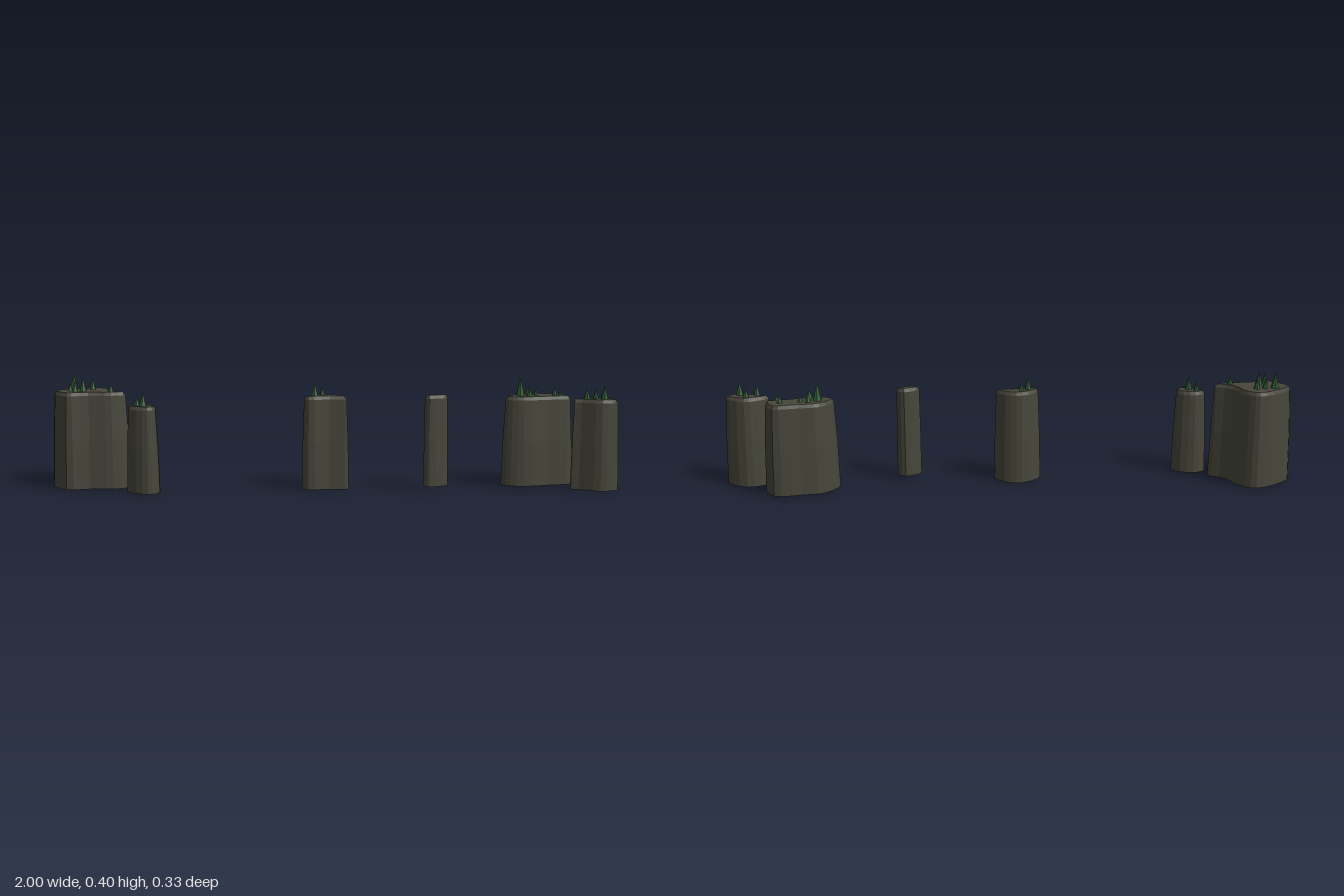
import * as THREE from 'three';

const rockMat = new THREE.MeshStandardMaterial({ color: 0x47463b });
rockMat.name = 'darkRock';
const treeMat = new THREE.MeshStandardMaterial({ color: 0x2f5c32 });
treeMat.name = 'pineGreen';

// Faceted rock wall that leans inward and has a bevelled rim; outline is [x, z] at the ground
function rockGeometry(outline, base, top, inset) {
  const curve = new THREE.CatmullRomCurve3(outline.map(([x, z]) => new THREE.Vector3(x, 0, z)), true);
  const n = outline.length * 3;
  const pts = Array.from({ length: n }, (_, i) => curve.getPoint(i / n));
  const out = pts.map((_, i) => {
    const t = pts[(i + 1) % n].clone().sub(pts[(i + n - 1) % n]).normalize();
    return new THREE.Vector3(t.z, 0, -t.x);
  });
  const middle = (base + top) / 2;
  const levels = [[base, 0], [middle, inset * 0.35], [top - 0.012, inset], [top, inset + 0.007]];
  const rings = levels.map(([y, d]) => pts.map((p, i) => p.clone().addScaledVector(out[i], -d).setY(y)));

  const pos = [];
  const tri = (a, b, c) => [a, b, c].forEach((p) => pos.push(p.x, p.y, p.z));
  for (let k = 0; k < rings.length - 1; k++) {
    for (let i = 0; i < n; i++) {
      const j = (i + 1) % n;
      tri(rings[k][j], rings[k][i], rings[k + 1][i]);
      tri(rings[k][j], rings[k + 1][i], rings[k + 1][j]);
    }
  }
  // Top and underside
  const cap = (ring, up) => {
    const flat = ring.map((p) => new THREE.Vector2(p.x, p.z));
    for (const [i, j, k] of THREE.ShapeUtils.triangulateShape(flat, [])) {
      const [a, b, c] = [ring[i], ring[j], ring[k]];
      const facesUp = (b.z - a.z) * (c.x - a.x) - (b.x - a.x) * (c.z - a.z) > 0;
      if (facesUp === up) tri(a, b, c);
      else tri(a, c, b);
    }
  };
  cap(rings[rings.length - 1], true);
  cap(rings[0], false);

  const geo = new THREE.BufferGeometry();
  geo.setAttribute('position', new THREE.Float32BufferAttribute(pos, 3));
  geo.computeVertexNormals();
  return geo;
}

// Six-sided pine standing on the pillar top
function pine(x, z, height, ground) {
  const geo = new THREE.ConeGeometry(0.005 + height * 0.17, height, 6).toNonIndexed();
  geo.computeVertexNormals();
  const mesh = new THREE.Mesh(geo, treeMat);
  mesh.name = 'pineTree';
  mesh.position.set(x, ground + height / 2, z);
  return mesh;
}

// Rock with its pines, each given as [x, z, height]
function pillar(name, base, top, inset, outline, trees = []) {
  const group = new THREE.Group();
  group.name = name;
  const rock = new THREE.Mesh(rockGeometry(outline, base, top, inset), rockMat);
  rock.name = 'rock';
  group.add(rock, ...trees.map(([x, z, h]) => pine(x, z, h, top)));
  return group;
}

export function createModel() {
  const model = new THREE.Group();
  model.name = 'rockPillars';

  // Left pair
  model.add(pillar('largeLeftPillar', 0, 0.34, 0.012,
    [[-1, 0], [-0.945, -0.07], [-0.86, -0.117], [-0.805, -0.085], [-0.775, -0.01],
      [-0.715, 0.035], [-0.77, 0.07], [-0.85, 0.075], [-0.93, 0.095]],
    [[-0.925, -0.03, 0.057], [-0.89, -0.035, 0.035], [-0.86, -0.04, 0.04], [-0.93, 0.005, 0.025],
      [-0.88, 0.02, 0.048], [-0.905, 0.037, 0.038], [-0.78, 0.03, 0.031]]));
  model.add(pillar('smallLeftPillar', 0, 0.3, 0.01,
    [[-0.715, 0.095], [-0.67, 0.065], [-0.605, 0.09], [-0.6, 0.14], [-0.63, 0.162], [-0.695, 0.135]],
    [[-0.65, 0.12, 0.05], [-0.675, 0.1, 0.032]]));

  // Middle pillars
  model.add(pillar('middlePillar', 0, 0.328, 0.009,
    [[-0.11, 0.035], [-0.045, -0.03], [0.02, -0.018], [0.055, 0.04], [-0.01, 0.047], [-0.085, 0.063]],
    [[-0.065, 0.022, 0.045], [-0.04, 0.003, 0.027]]));
  model.add(pillar('slimPillar', 0.015, 0.335, 0.003,
    [[0.315, 0.05], [0.37, 0.01], [0.4, 0.035], [0.335, 0.068]]));

  // Right pair
  model.add(pillar('largeRightPillar', 0.004, 0.32, 0.012,
    [[0.595, -0.055], [0.64, -0.13], [0.715, -0.15], [0.81, -0.162], [0.848, -0.07],
      [0.765, -0.04], [0.67, -0.012], [0.61, -0.025]],
    [[0.66, -0.077, 0.065], [0.69, -0.095, 0.038], [0.69, -0.05, 0.035],
      [0.718, -0.092, 0.025], [0.785, -0.105, 0.03], [0.8, -0.07, 0.018]]));
  model.add(pillar('smallRightPillar', 0, 0.318, 0.01,
    [[0.83, 0.01], [0.855, -0.022], [0.92, -0.049], [0.997, 0], [0.985, 0.03], [0.93, 0.05], [0.86, 0.02]],
    [[0.88, 0.01, 0.04], [0.915, -0.012, 0.032], [0.94, 0.015, 0.05]]));
  return model;
}
